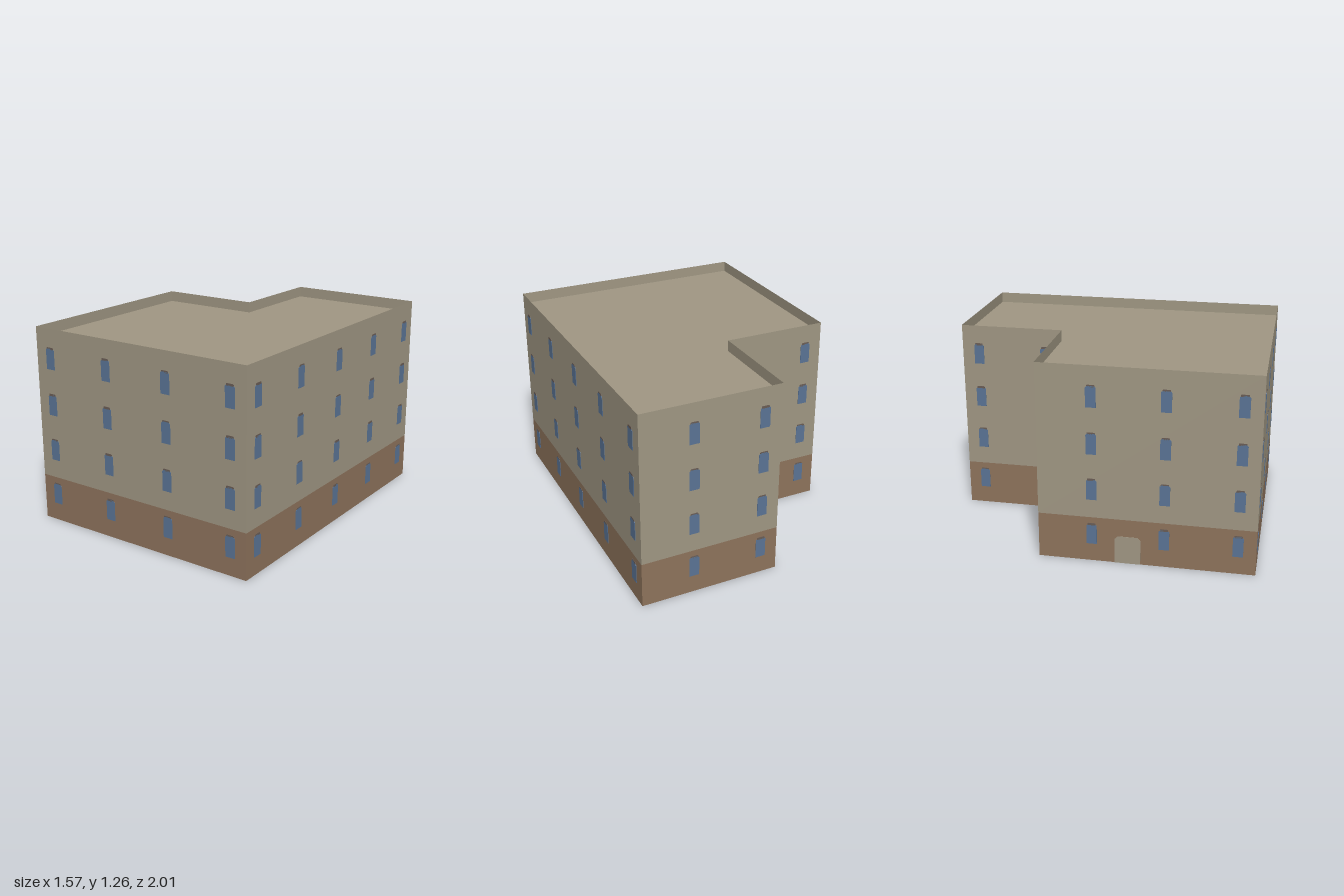
import * as THREE from 'three';

const mat = (name, color, side = THREE.FrontSide) => {
  const m = new THREE.MeshStandardMaterial({ color, side });
  m.name = name;
  return m;
};

export function createModel() {
  const plaster = mat('plaster', 0xa09783, THREE.DoubleSide);
  const brown = mat('brown base', 0x8e735c, THREE.DoubleSide);
  const glass = mat('window blue', 0x5a7495);
  const dark = mat('lintel brown', 0x6a5d55);

  const HEIGHT = 1.26, BASE = 0.293, ROOF = 1.19;
  const building = new THREE.Group();
  building.name = 'building';

  // L-shaped footprint as [x, z] corners, with window columns measured along each wall
  const walls = [
    { name: 'frontWall', at: [-0.78, 1], columns: [0.11, 0.557, 1.003, 1.45] },
    { name: 'rightWall', at: [0.78, 1], columns: [0.11, 0.555, 1, 1.445, 1.89] },
    { name: 'backWall', at: [0.78, -1], columns: [0.335, 0.78] },
    { name: 'notchSideWall', at: [-0.11, -1], columns: [0.11, 0.555] },
    { name: 'notchBackWall', at: [-0.11, -0.333], columns: [0.11, 0.56] },
    { name: 'leftWall', at: [-0.78, -0.333], columns: [0.333, 0.778, 1.223], door: 0.555 },
  ];

  // Thin plate with clipped upper corners, standing on y = 0 and showing on both wall sides
  const plate = (w, h, clip) => {
    const s = new THREE.Shape([
      [-w / 2, 0], [w / 2, 0], [w / 2, h - clip], [w / 2 - clip, h],
      [clip - w / 2, h], [-w / 2, h - clip],
    ].map(([x, y]) => new THREE.Vector2(x, y)));
    return new THREE.ExtrudeGeometry(s, { depth: 0.006, bevelEnabled: false }).translate(0, 0, -0.003);
  };
  const windowGeo = plate(0.064, 0.132, 0.01);
  const lintelGeo = plate(0.05, 0.014, 0.004);
  const doorGeo = plate(0.16, 0.18, 0.02);

  const add = (parent, name, geo, material, x, y) => {
    const mesh = new THREE.Mesh(geo, material);
    mesh.name = name;
    mesh.position.set(x, y, 0);
    parent.add(mesh);
  };

  walls.forEach((wall, i) => {
    const [ax, az] = wall.at;
    const [bx, bz] = walls[(i + 1) % walls.length].at;
    const length = Math.hypot(bx - ax, bz - az);
    const g = new THREE.Group();
    g.name = wall.name;
    g.position.set(ax, 0, az);
    g.rotation.y = Math.atan2(az - bz, bx - ax);

    // Single-sheet wall in two bands; the upper band rises past the roof as a parapet
    add(g, 'baseBand', new THREE.PlaneGeometry(length, BASE), brown, length / 2, BASE / 2);
    add(g, 'upperBand', new THREE.PlaneGeometry(length, HEIGHT - BASE), plaster, length / 2, (HEIGHT + BASE) / 2);

    // Four storeys of windows with dark heads
    for (const x of wall.columns) {
      for (let floor = 0; floor < 4; floor++) {
        const y = 0.115 + floor * 0.296;
        add(g, 'window', windowGeo, glass, x, y);
        add(g, 'windowHead', lintelGeo, dark, x, y + 0.125);
      }
    }
    if (wall.door) add(g, 'door', doorGeo, plaster, wall.door, 0);
    building.add(g);
  });

  // Flat roof sunk below the parapet
  const outline = new THREE.Shape(walls.map(({ at: [x, z] }) => new THREE.Vector2(x, -z)));
  add(building, 'roof', new THREE.ShapeGeometry(outline).rotateX(-Math.PI / 2), plaster, 0, ROOF);

  return building;
}
